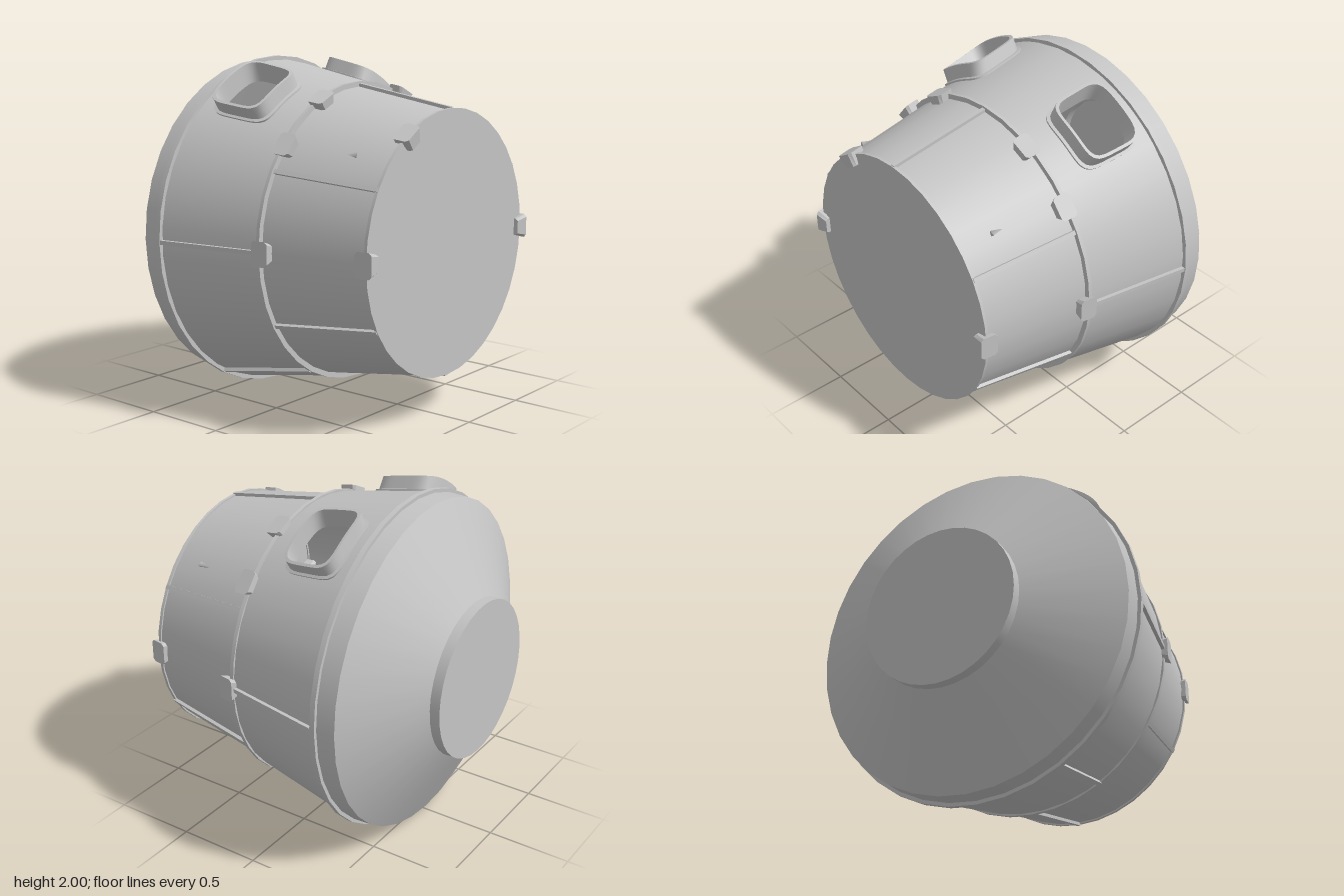
import * as THREE from 'three';
import { toCreasedNormals } from 'three/addons/utils/BufferGeometryUtils.js';

const RAD = Math.PI / 180;
const Z_BACK = -0.43, Z_MID = 0.2, Z_FRONT = 0.845;
const midRadius = z => 0.98 + (0.86 - 0.98) * (z - Z_BACK) / (Z_MID - Z_BACK);
const frontRadius = z => 0.845 + (0.74 - 0.845) * (z - Z_MID) / (Z_FRONT - Z_MID);

export function createModel() {
  const model = new THREE.Group();
  const grey = new THREE.MeshStandardMaterial({ color: 0xc4c4c4, side: THREE.DoubleSide });
  grey.name = 'hullGrey';

  // The body is built around the z axis, then lifted onto the ground
  const body = new THREE.Group();
  body.name = 'module';
  body.position.y = 1;
  model.add(body);

  const add = (name, geometry, parent = body) => {
    const mesh = new THREE.Mesh(geometry, grey);
    mesh.name = name;
    parent.add(mesh);
    return mesh;
  };

  // Band of revolution about z; angles in degrees from +x
  const band = (name, points, from = 0, sweep = 360) => {
    const profile = points.map(([z, r]) => new THREE.Vector2(r, z));
    const g = new THREE.LatheGeometry(profile, Math.round(sweep / 10), (from + 90) * RAD, sweep * RAD);
    return add(name, g.rotateX(Math.PI / 2));
  };

  // Square-section hoop
  const hoop = (name, z, width, inner, outer) => {
    const a = z - width / 2, b = z + width / 2;
    band(name, [[a, outer], [b, outer]]);
    band(name + 'FrontFace', [[b, outer], [b, inner]]);
    band(name + 'BackFace', [[a, inner], [a, outer]]);
  };

  // Shell sections and flat ends
  band('frontShell', [[Z_MID, 0.845], [Z_FRONT, 0.74]]);
  band('midShellTop', [[Z_BACK, 0.98], [Z_MID, 0.86]], 75, 30);
  band('midShell', [[Z_BACK, 0.98], [Z_MID, 0.86]], 135, 270);
  band('rearBand', [[-0.555, 0.975], [Z_BACK, 0.98]]);
  band('rearCone', [[-0.825, 0.465], [-0.555, 0.975]]);
  band('dockingCollar', [[-0.885, 0.465], [-0.825, 0.465]]);
  add('frontCap', new THREE.CircleGeometry(0.74, 36)).position.z = Z_FRONT;
  const rear = add('rearCap', new THREE.CircleGeometry(0.465, 36));
  rear.position.z = -0.885;
  rear.rotation.y = Math.PI;

  hoop('frontHoop', 0.838, 0.018, 0.73, 0.752);
  hoop('middleHoop', 0.205, 0.022, 0.835, 0.872);
  hoop('rearHoop', Z_BACK, 0.03, 0.97, 1.0);

  // Rounded-square loop in (angle, z, height above hull)
  const N = 48;
  const loop = (halfAngle, halfZ, zc, n, h) => Array.from({ length: N }, (_, j) => {
    const t = j / N * Math.PI * 2, c = Math.cos(t), s = Math.sin(t);
    const ac = Math.abs(c), as = Math.abs(s);
    const d = n === Infinity ? Math.max(ac, as) : Math.pow(ac ** n + as ** n, 1 / n);
    return [halfAngle * c / d, zc + halfZ * s / d, h];
  });

  // Skin through successive loops, wrapped round the hull at a given angle
  const wrapLoops = (loops, centre) => {
    const pos = [], index = [];
    for (const l of loops) for (const [a, z, h] of l) {
      const r = midRadius(z) + h, t = centre * RAD + a;
      pos.push(r * Math.cos(t), r * Math.sin(t), z);
    }
    for (let i = 0; i < loops.length - 1; i++) for (let j = 0; j < N; j++) {
      const k = (j + 1) % N, a = i * N + j, b = i * N + k;
      index.push(a, b, b + N, a, b + N, a + N);
    }
    const g = new THREE.BufferGeometry();
    g.setAttribute('position', new THREE.Float32BufferAttribute(pos, 3));
    g.setIndex(index);
    return toCreasedNormals(g, 35 * RAD);
  };

  // Windows: hull panel with an opening, and a raised hollow frame
  const zw = -0.155;
  const edge = loop(15 * RAD, (Z_MID - Z_BACK) / 2, (Z_MID + Z_BACK) / 2, Infinity, 0);
  const hole = loop(0.195, 0.16, zw, 5, 0);
  const panel = [0, 0.25, 0.5, 0.75, 1].map(t =>
    edge.map((p, j) => p.map((v, k) => v + (hole[j][k] - v) * t)));
  const frame = [
    [0.232, 0.195, -0.01], [0.232, 0.195, 0.01], [0.215, 0.178, 0.012],
    [0.207, 0.17, 0.088], [0.19, 0.155, 0.088], [0.19, 0.155, -0.03],
  ].map(([a, z, h]) => loop(a, z, zw, 5, h));
  for (const [side, angle] of [['left', 60], ['right', 120]]) {
    add(side + 'WindowPanel', wrapLoops(panel, angle));
    add(side + 'WindowFrame', wrapLoops(frame, angle));
  }

  // Pivot whose local x points outward at an angle
  const pivot = (name, angle) => {
    const g = new THREE.Group();
    g.name = name;
    g.rotation.z = angle * RAD;
    body.add(g);
    return g;
  };

  // Lengthwise seam ribs
  const rib = (name, angle, z0, z1, radius) => {
    const dr = radius(z1) - radius(z0), dz = z1 - z0;
    const g = new THREE.BoxGeometry(0.035, 0.024, Math.hypot(dr, dz));
    const mesh = add(name, g, pivot(name + 'Pivot', angle));
    mesh.position.set((radius(z0) + radius(z1)) / 2, 0, (z0 + z1) / 2);
    mesh.rotation.y = Math.atan2(dr, dz);
  };
  for (const a of [30, 90, 150, 210, 270, 330]) rib('frontRib', a, Z_MID, 0.84, frontRadius);
  for (const a of [0, 180, 240, 300]) rib('midRib', a, Z_BACK, Z_MID, midRadius);

  // Corner-cut clamps, narrower towards the hull
  const w = 0.05, h = 0.07, c = 0.016;
  const outline = new THREE.Shape([
    [-w + c, -h], [w - c, -h], [w, -h + c], [w, h - c],
    [w - c, h], [-w + c, h], [-w, h - c], [-w, -h + c],
  ].map(p => new THREE.Vector2(...p)));
  const clampGeometry = depth => {
    const g = new THREE.ExtrudeGeometry(outline, { depth, bevelEnabled: false });
    const p = g.attributes.position;
    for (let i = 0; i < p.count; i++) if (p.getZ(i) < depth / 2) p.setY(i, p.getY(i) * 0.7);
    g.computeVertexNormals();
    return g.rotateY(Math.PI / 2);
  };
  const clamp = (name, angle, z, inner, outer) => {
    const mesh = add(name, clampGeometry(outer - inner), pivot(name + 'Pivot', angle));
    mesh.position.set(inner, 0, z);
    mesh.rotation.y = -0.16;
  };
  for (const a of [0, 40, 65, 115, 140, 180]) clamp('middleClamp', a, 0.225, 0.835, 0.89);
  for (const a of [0, 122, 180]) clamp('frontClamp', a, 0.825, 0.69, 0.768);

  // Small wedge fins on the front shell
  for (const a of [43, 137]) {
    const fin = add('wedgeFin', new THREE.ConeGeometry(0.02, 0.08, 3).rotateX(-Math.PI / 2), pivot('finPivot', a));
    fin.position.set(frontRadius(0.61) + 0.002, 0, 0.61);
  }
  return model;
}
